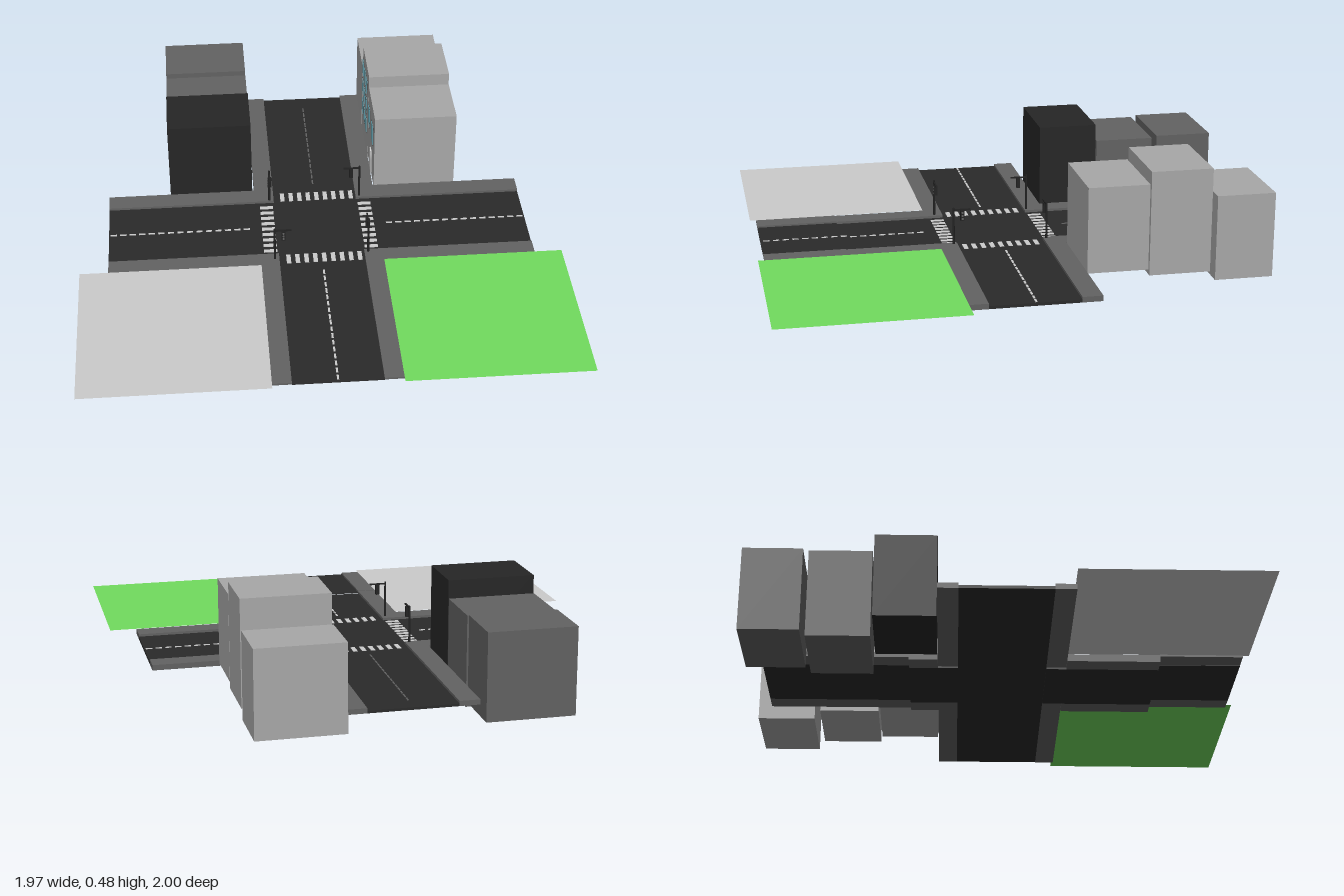
import * as THREE from 'three';

const mat = (color, side = THREE.FrontSide) => new THREE.MeshStandardMaterial({ color, side });
const asphalt = mat(0x2a2a2a);
const pavement = mat(0x626262);
const paint = mat(0xcccccc);
const darkWall = mat(0x626262);
const blackWall = mat(0x262626);
const lightWall = mat(0xa8a8a8);
const glass = mat(0x6fb0bf);
const metal = mat(0x222222);

// Box given by its limits on each axis
function block(parent, name, material, [x0, x1], [y0, y1], [z0, z1]) {
  const mesh = new THREE.Mesh(new THREE.BoxGeometry(x1 - x0, y1 - y0, z1 - z0), material);
  mesh.position.set((x0 + x1) / 2, (y0 + y1) / 2, (z0 + z1) / 2);
  mesh.name = name;
  parent.add(mesh);
  return mesh;
}

function group(parent, name) {
  const g = new THREE.Group();
  g.name = name;
  parent.add(g);
  return g;
}

const mirrored = (s, a, b) => (s > 0 ? [a, b] : [-b, -a]);

function addRoads(parent) {
  const g = group(parent, 'roads');
  block(g, 'crossRoad', asphalt, [-0.87, 0.87], [0.078, 0.09], [-0.165, 0.19]);
  block(g, 'frontRoad', asphalt, [-0.175, 0.175], [0.07, 0.09], [0.19, 0.64]);
  block(g, 'frontRoadEnd', asphalt, [-0.175, 0.175], [0.092, 0.095], [0.64, 0.97]);
  block(g, 'backRoad', asphalt, [-0.175, 0.175], [0.07, 0.09], [-0.36, -0.165]);
  block(g, 'backRoadEnd', asphalt, [-0.175, 0.175], [0.08, 0.09], [-0.945, -0.36]);

  // Pavements along both sides of every arm
  for (const s of [1, -1]) {
    const x = mirrored(s, 0.175, 0.255);
    block(g, 'frontCrossPavement', pavement, mirrored(s, 0.175, 0.87), [0.078, 0.1], [0.19, 0.27]);
    block(g, 'backCrossPavement', pavement, mirrored(s, 0.175, 0.87), [0.078, 0.1], [-0.245, -0.165]);
    block(g, 'frontPavement', pavement, x, [0.07, 0.1], [0.27, 0.64]);
    block(g, 'frontPavementEnd', pavement, x, [0.094, 0.102], [0.64, 0.97]);
    block(g, 'backPavement', pavement, x, [0.07, 0.1], [-0.36, -0.245]);
    block(g, 'backPavementEnd', pavement, x, [0.08, 0.1], [-0.945, -0.36]);
  }
}

function addMarkings(parent) {
  const g = group(parent, 'roadMarkings');
  const y = [0.09, 0.0925];
  // Zebra crossings
  for (let i = 0; i < 9; i++) {
    const a = -0.146 + i * 0.0365;
    for (const z of [[-0.225, -0.17], [0.192, 0.247]])
      block(g, 'crossingStripe', paint, [a, a + 0.018], y, z);
    for (const s of [1, -1])
      block(g, 'crossingStripe', paint, mirrored(s, 0.18, 0.235), y, [a + 0.006, a + 0.024]);
  }
  // Dashed centre lines
  for (let i = 0; i < 15; i++) {
    const a = 0.285 + i * 0.0395, b = a + 0.026;
    for (const s of [1, -1])
      block(g, 'laneDash', paint, mirrored(s, a, b), y, [0.005, 0.013]);
    block(g, 'laneDash', pavement, [-0.003, 0.003], y, [-b, -a]);
  }
  for (let i = 0; i < 17; i++) {
    const a = 0.3 + i * 0.0395, top = a > 0.61 ? 0.097 : 0.0925;
    block(g, 'laneDash', paint, [-0.004, 0.004], [top - 0.003, top], [a, a + 0.026]);
  }
}

// Flat ground sheets in the two front corners
function addLot(parent, name, color, x0, x1) {
  const geo = new THREE.PlaneGeometry(x1 - x0, 0.73).rotateX(-Math.PI / 2);
  const lot = new THREE.Mesh(geo, mat(color, THREE.DoubleSide));
  lot.position.set((x0 + x1) / 2, 0.103, 0.63);
  lot.name = name;
  parent.add(lot);
}

function addBuildings(parent) {
  const g = group(parent, 'buildings');
  const left = [0.26, 0.605], right = [-0.61, -0.262];
  const near = [-0.492, -0.248], mid = [-0.743, -0.497], far = [-1, -0.765];
  block(g, 'leftNearBuilding', lightWall, left, [0.09, 0.437], near);
  block(g, 'leftMiddleBuilding', lightWall, left, [0.065, 0.487], mid);
  block(g, 'leftFarBuilding', lightWall, left, [0.027, 0.373], far);
  block(g, 'rightNearBuilding', blackWall, right, [0.09, 0.437], near);
  block(g, 'rightMiddleBuilding', darkWall, right, [0.003, 0.365], mid);
  block(g, 'rightFarBuilding', darkWall, right, [0.027, 0.373], far);

  // Street-side windows with frames
  const facade = group(g, 'facadeDetails');
  const window = (z, y, w, h) => {
    block(facade, 'windowFrame', darkWall, [0.256, 0.26], [y - 0.005, y + h + 0.005], [z - w / 2 - 0.005, z + w / 2 + 0.005]);
    block(facade, 'windowPane', glass, [0.254, 0.256], [y, y + h], [z - w / 2, z + w / 2]);
  };
  for (const y of [0.18, 0.28, 0.38])
    for (const z of [-0.69, -0.62, -0.55]) window(z, y, 0.04, 0.065);
  for (const z of [-0.435, -0.305]) window(z, 0.29, 0.06, 0.085);

  // Arched door
  const arch = new THREE.Shape();
  arch.moveTo(-0.035, 0).lineTo(0.035, 0).lineTo(0.035, 0.07);
  arch.absarc(0, 0.07, 0.035, 0, Math.PI);
  const door = new THREE.Mesh(new THREE.ExtrudeGeometry(arch, { depth: 0.005, bevelEnabled: false }), paint);
  door.name = 'archedDoor';
  door.rotation.y = -Math.PI / 2;
  door.position.set(0.26, 0.1, -0.37);
  facade.add(door);
}

// Pole with an arm along its local +x and a hanging signal
function addTrafficLight(parent, x, z, turn) {
  const g = group(parent, 'trafficLight');
  const pole = new THREE.Mesh(new THREE.CylinderGeometry(0.004, 0.005, 0.152, 10), metal);
  pole.name = 'pole';
  pole.position.y = 0.076;
  g.add(pole);
  block(g, 'arm', metal, [0, 0.068], [0.14, 0.146], [-0.003, 0.003]);
  block(g, 'signalHead', metal, [0.028, 0.043], [0.098, 0.14], [-0.008, 0.008]);
  for (let i = 0; i < 3; i++) {
    const lamp = new THREE.Mesh(new THREE.CylinderGeometry(0.0045, 0.0045, 0.002, 10), darkWall);
    lamp.name = 'lamp';
    lamp.rotation.x = Math.PI / 2;
    lamp.position.set(0.0355, 0.106 + i * 0.013, 0.009);
    g.add(lamp);
  }
  g.position.set(x, 0.1, z);
  g.rotation.y = turn;
}

export function createModel() {
  const model = new THREE.Group();
  model.name = 'streetCrossing';
  addRoads(model);
  addMarkings(model);
  addLot(model, 'grassLot', 0x72dc5e, 0.25, 0.98);
  addLot(model, 'concreteLot', 0xcccccc, -0.985, -0.25);
  addBuildings(model);
  // One light per corner, arms turning around the junction
  addTrafficLight(model, -0.193, 0.223, 0);
  addTrafficLight(model, 0.19, 0.205, Math.PI / 2);
  addTrafficLight(model, 0.19, -0.178, Math.PI);
  addTrafficLight(model, -0.193, -0.174, -Math.PI / 2);
  return model;
}
